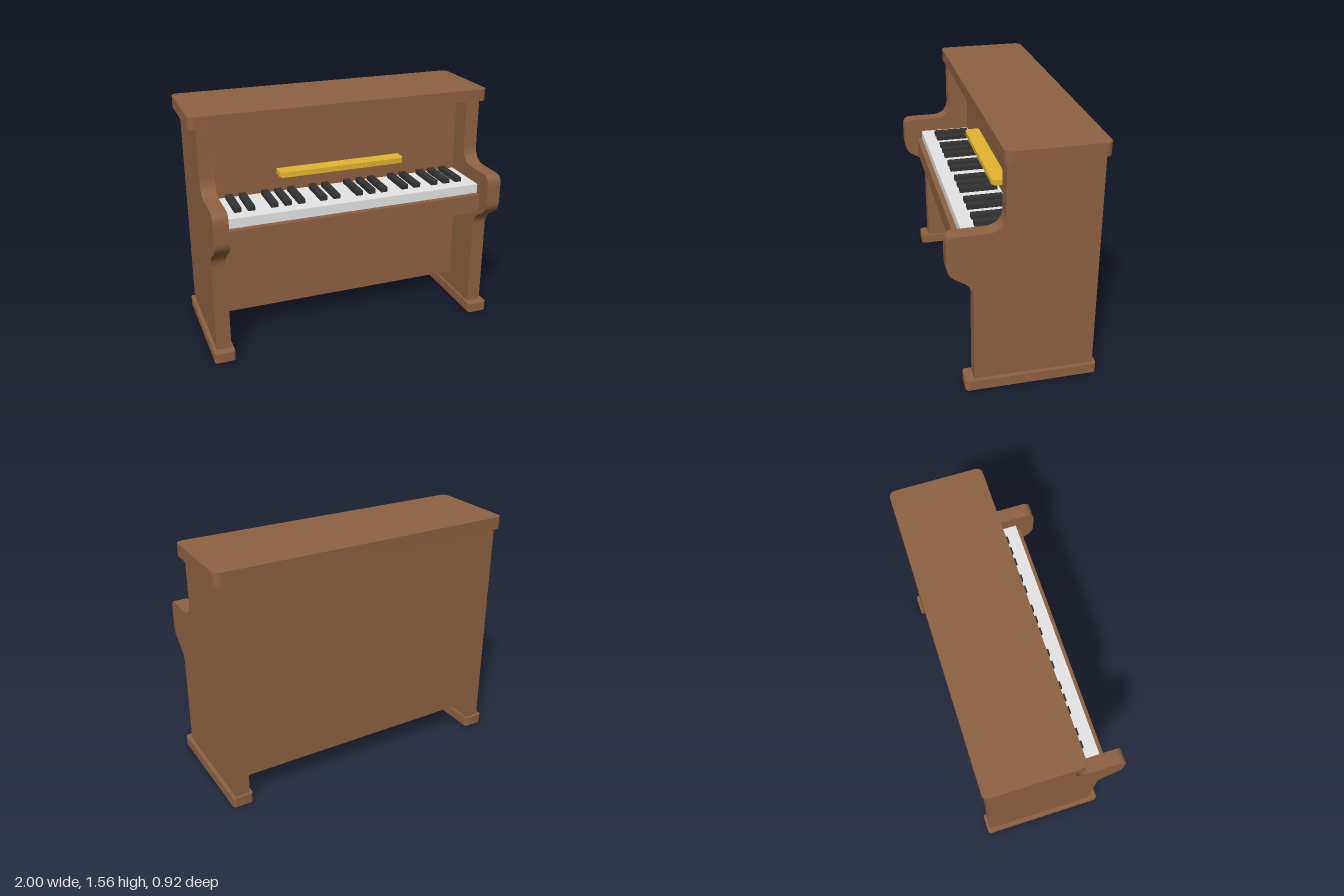
import * as THREE from 'three';
import { toCreasedNormals } from 'three/addons/utils/BufferGeometryUtils.js';

const material = (name, color) => {
  const m = new THREE.MeshStandardMaterial({ color });
  m.name = name;
  return m;
};

export function createModel() {
  const wood = material('wood', 0x8f6142);
  const ivory = material('ivory', 0xe6e6e6);
  const ebony = material('ebony', 0x333333);
  const brass = material('brass', 0xe3b630);

  const model = new THREE.Group();
  model.name = 'uprightPiano';

  const add = (name, geometry, mat) => {
    const mesh = new THREE.Mesh(geometry, mat);
    mesh.name = name;
    model.add(mesh);
    return mesh;
  };

  // Box given by its extents on each axis
  const box = (name, mat, [x0, x1], [y0, y1], [z0, z1]) => {
    const g = new THREE.BoxGeometry(x1 - x0, y1 - y0, z1 - z0);
    g.translate((x0 + x1) / 2, (y0 + y1) / 2, (z0 + z1) / 2);
    return add(name, g, mat);
  };

  // Horizontal slab with rounded vertical corners
  const slab = (name, mat, [x0, x1], [y0, y1], [z0, z1], r) => {
    const s = new THREE.Shape();
    const a = -z1, b = -z0;
    s.moveTo(x0 + r, a);
    s.lineTo(x1 - r, a);
    s.absarc(x1 - r, a + r, r, -Math.PI / 2, 0);
    s.absarc(x1 - r, b - r, r, 0, Math.PI / 2);
    s.absarc(x0 + r, b - r, r, Math.PI / 2, Math.PI);
    s.absarc(x0 + r, a + r, r, Math.PI, Math.PI * 1.5);
    const g = new THREE.ExtrudeGeometry(s, { depth: y1 - y0, bevelEnabled: false, curveSegments: 5 });
    g.rotateX(-Math.PI / 2).translate(0, y0, 0);
    return add(name, toCreasedNormals(g, 0.6), mat);
  };

  // Side outline, drawn as (z, y)
  const outline = new THREE.Shape();
  outline.moveTo(-0.44, 0.065);
  outline.lineTo(0.308, 0.065);
  outline.lineTo(0.308, 0.65);
  outline.bezierCurveTo(0.308, 0.72, 0.35, 0.75, 0.385, 0.77);
  outline.bezierCurveTo(0.43, 0.795, 0.46, 0.82, 0.46, 0.88);
  outline.lineTo(0.46, 0.99);
  outline.bezierCurveTo(0.46, 1.04, 0.445, 1.06, 0.4, 1.06);
  outline.lineTo(0.23, 1.06);
  outline.bezierCurveTo(0.16, 1.06, 0.12, 1.1, 0.12, 1.17);
  outline.lineTo(0.12, 1.48);
  outline.lineTo(-0.44, 1.48);
  outline.closePath();

  // Scrolled sides and their feet
  const T = 0.095;
  for (const [label, sign] of [['left', 1], ['right', -1]]) {
    const g = new THREE.ExtrudeGeometry(outline, { depth: T, bevelEnabled: false, curveSegments: 8 });
    g.rotateY(-Math.PI / 2).translate(sign > 0 ? 0.955 : -0.86, 0, 0);
    add(label + 'Side', toCreasedNormals(g, 0.6), wood);
    const xs = sign > 0 ? [0.845, 0.98] : [-0.98, -0.845];
    slab(label + 'Foot', wood, xs, [0, 0.065], [-0.46, 0.365], 0.02);
  }

  // Cabinet between the sides
  box('upperCabinet', wood, [-0.86, 0.86], [0.905, 1.48], [-0.41, -0.02]);
  box('lowerCabinet', wood, [-0.86, 0.86], [0.17, 0.78], [-0.41, 0.035]);
  box('keyBed', wood, [-0.86, 0.86], [0.78, 0.905], [-0.41, 0.365]);
  slab('lid', wood, [-1, 1], [1.48, 1.56], [-0.46, 0.14], 0.04);

  // Music ledge, its back rounding hidden in the cabinet
  slab('musicLedge', brass, [-0.43, 0.43], [1.09, 1.125], [-0.07, 0.08], 0.03);

  // Keyboard
  box('whiteKeys', ivory, [-0.86, 0.86], [0.905, 0.967], [-0.02, 0.33]);
  const blackKeys = [-0.755, -0.668, -0.52, -0.432, -0.345, -0.198, -0.11,
    0.047, 0.135, 0.22, 0.367, 0.455, 0.584, 0.672, 0.759];
  blackKeys.forEach((x, i) =>
    box('blackKey' + (i + 1), ebony, [x - 0.0225, x + 0.0225], [0.96, 0.997], [0, 0.245]));

  return model;
}
